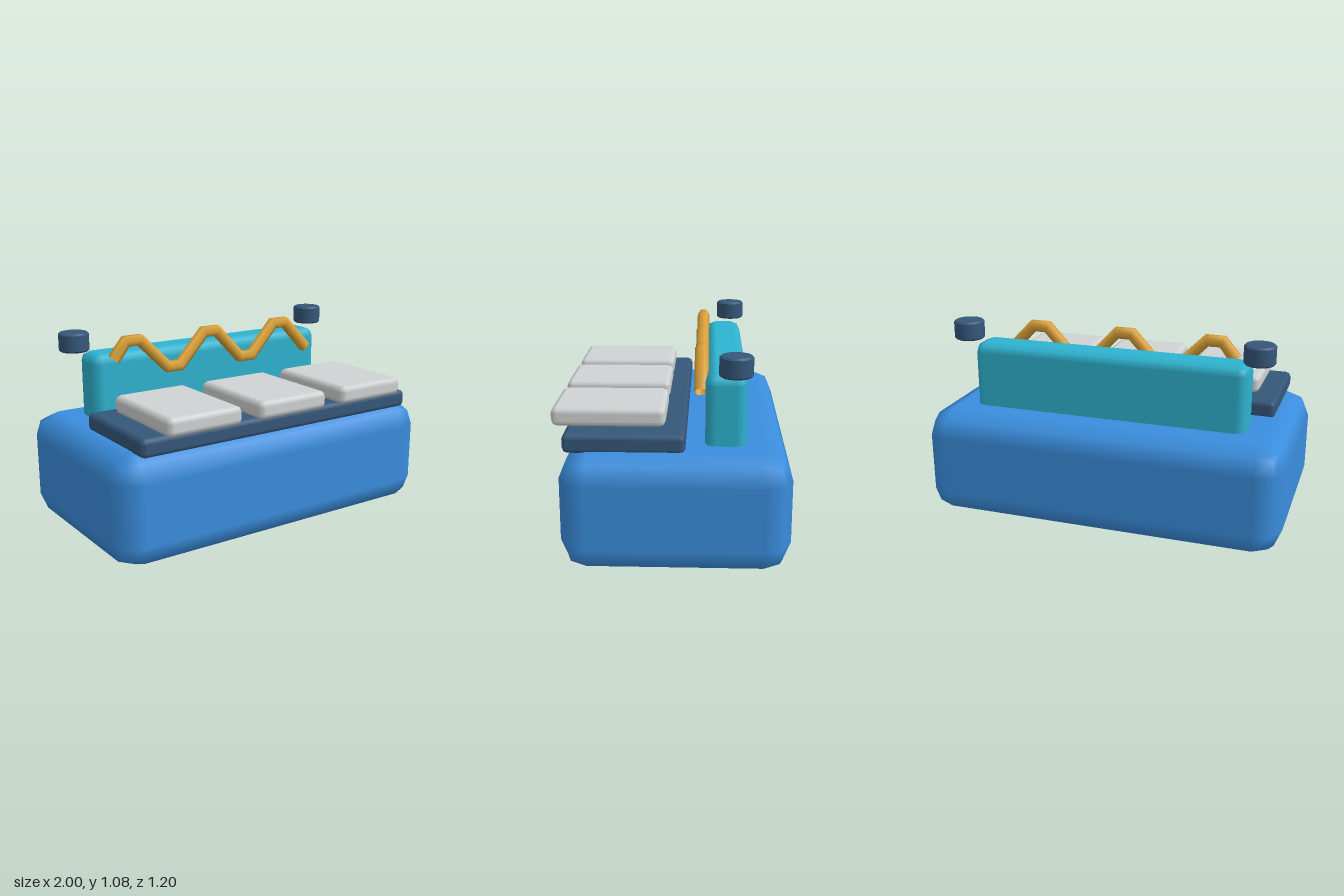
import * as THREE from 'three';
import { RoundedBoxGeometry } from 'three/addons/geometries/RoundedBoxGeometry.js';

const material = (name, color, extra = {}) => {
  const m = new THREE.MeshStandardMaterial({ color, ...extra });
  m.name = name;
  return m;
};

// Straight-segment path with averaged directions at its corners.
class ZigzagCurve extends THREE.Curve {
  constructor(points) {
    super();
    this.points = points;
  }
  getPoint(t, target = new THREE.Vector3()) {
    const f = t * (this.points.length - 1);
    const i = Math.min(Math.floor(f + 1e-6), this.points.length - 2);
    return target.lerpVectors(this.points[i], this.points[i + 1], f - i);
  }
  getPointAt(t, target) {
    return this.getPoint(t, target);
  }
  getTangentAt(t, target = new THREE.Vector3()) {
    const p = this.points, last = p.length - 1, i = Math.round(t * last);
    target.set(0, 0, 0);
    if (i > 0) target.add(p[i].clone().sub(p[i - 1]).normalize());
    if (i < last) target.add(p[i + 1].clone().sub(p[i]).normalize());
    return target.normalize();
  }
}

export function createModel() {
  const model = new THREE.Group();
  model.name = 'model';
  const blue = material('blue', 0x3a8ede);
  const navy = material('navy', 0x35577a);
  const teal = material('teal', 0x2eb3d0);
  const grey = material('light grey', 0xd0d3d3);
  const gold = material('gold', 0xdba239, { side: THREE.DoubleSide });

  const add = (name, geometry, mat, x = 0, y = 0, z = 0) => {
    const mesh = new THREE.Mesh(geometry, mat);
    mesh.name = name;
    mesh.position.set(x, y, z);
    model.add(mesh);
    return mesh;
  };

  // Rounded box given by its extents along each axis
  const block = (name, mat, [x0, x1], [y0, y1], [z0, z1], radius) =>
    add(name, new RoundedBoxGeometry(x1 - x0, y1 - y0, z1 - z0, 1, radius), mat,
      (x0 + x1) / 2, (y0 + y1) / 2, (z0 + z1) / 2);

  block('body', blue, [-1, 1], [0, 0.605], [-0.6, 0.55], 0.14);
  block('tray', navy, [-0.87, 0.87], [0.59, 0.69], [-0.073, 0.532], 0.028);
  block('backPanel', teal, [-0.767, 0.767], [0.5, 0.962], [-0.376, -0.168], 0.054);

  // Three pads in a row on the tray
  for (const x of [-0.543, 0, 0.543])
    block('pad', grey, [x - 0.218, x + 0.218], [0.693, 0.793], [0.028, 0.6], 0.032);

  // Round knobs at the ends of the back panel
  const r = 0.083, h = 0.052, b = 0.009;
  const knobProfile = [[0, -h], [r - b, -h], [r - b, -h], [r, b - h], [r, b - h],
    [r, h - b], [r, h - b], [r - b, h], [r - b, h], [0, h]]
    .map(([x, y]) => new THREE.Vector2(x, y));
  const knobGeometry = new THREE.LatheGeometry(knobProfile, 24);
  for (const side of [-1, 1]) add('knob', knobGeometry, navy, side * 0.813, 1.025, -0.315);

  // Wavy rail in front of the back panel
  const top = 1.027, low = 0.854;
  const wave = [[-0.66, 0.935], [-0.587, top], [-0.5, top], [-0.325, low], [-0.243, low],
    [-0.083, top], [0.003, top], [0.168, low], [0.255, low], [0.413, top], [0.5, top],
    [0.662, 0.856]].map(([x, y]) => new THREE.Vector3(x, y, -0.147));
  add('waveRail', new THREE.TubeGeometry(new ZigzagCurve(wave), wave.length - 1, 0.036, 6), gold);

  return model;
}
